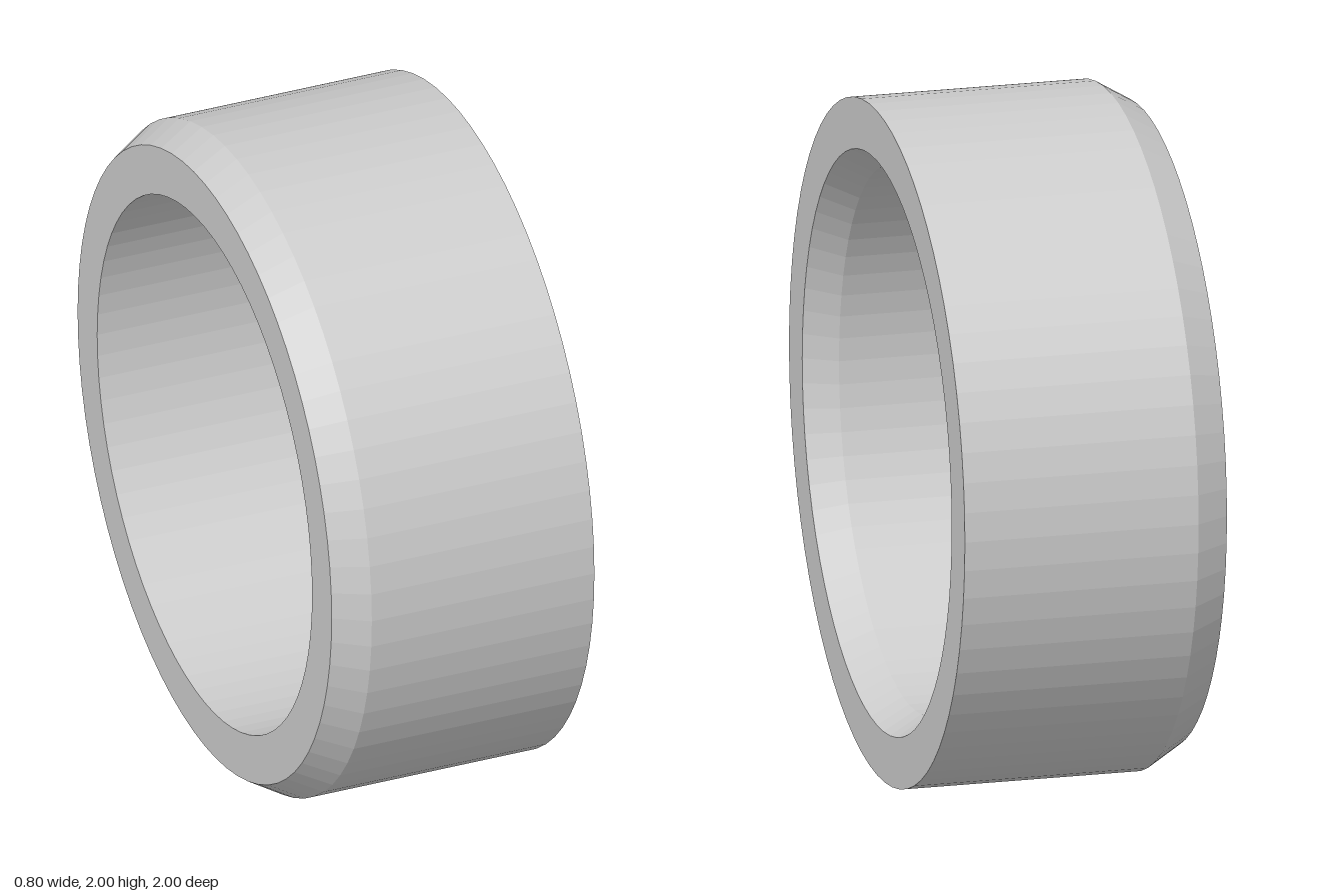
import * as THREE from 'three';

export function createModel() {
  const group = new THREE.Group();
  group.name = 'bevelledRing';

  // Closed cross-section as [radius, position along the axis]:
  // outer bevel at one end, inner bevel at the other
  const section = [
    [0.795, -0.4], [0.94, -0.4], [1, -0.3], [1, 0.395],
    [0.85, 0.395], [0.795, 0.3], [0.795, -0.4],
  ].map(([r, a]) => new THREE.Vector2(r, a));

  const geometry = new THREE.LatheGeometry(section, 72);
  geometry.rotateZ(-Math.PI / 2); // lay the axis along x

  const ring = new THREE.Mesh(
    geometry,
    new THREE.MeshStandardMaterial({ color: 0xcccccc, flatShading: true }),
  );
  ring.name = 'ring';
  ring.position.y = 1;
  group.add(ring);
  return group;
}
